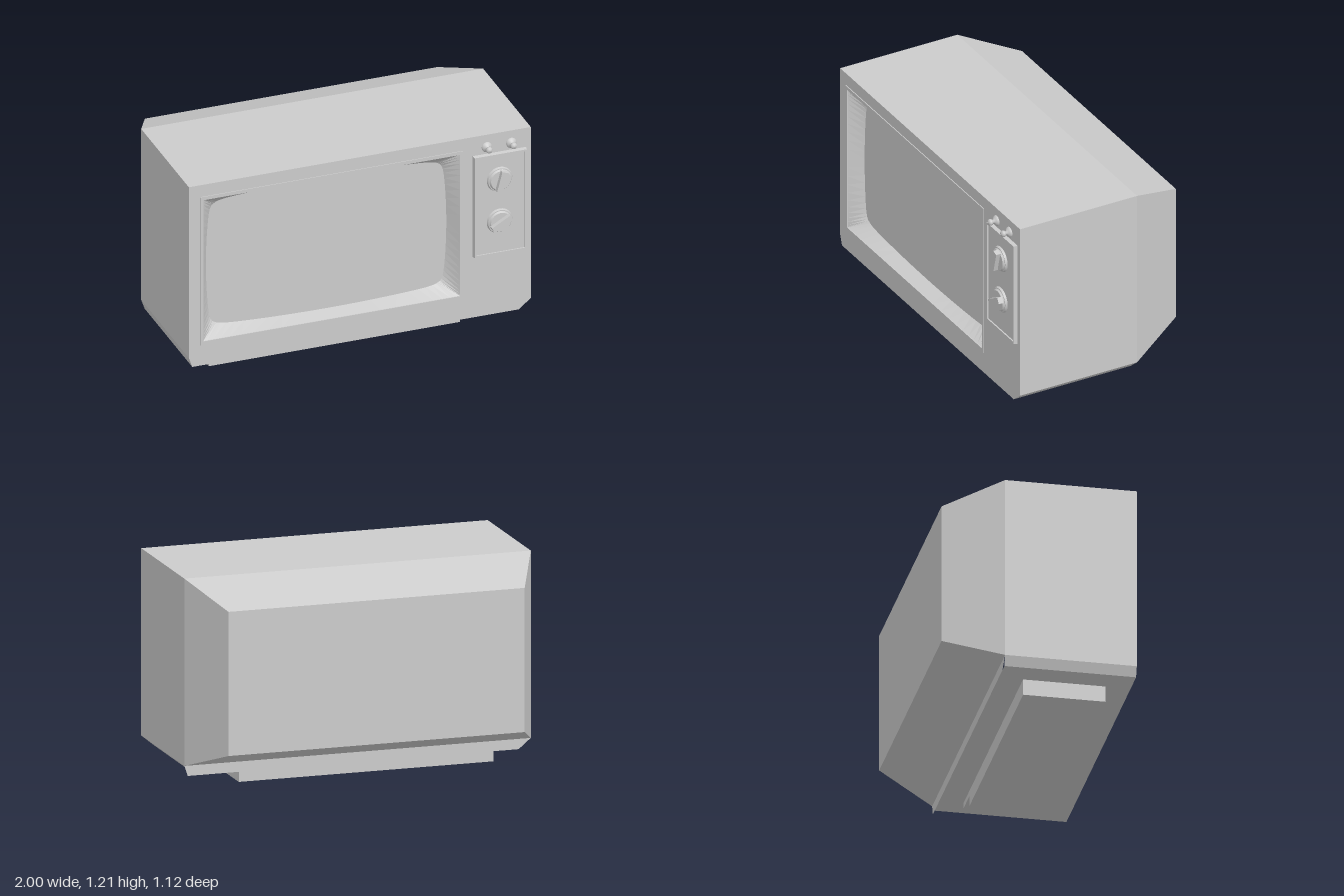
import * as THREE from 'three';

const V = (x, y) => new THREE.Vector2(x, y);
const FRONT = 0.5, MID = -0.235, BACK = -0.56, SCREEN_Z = 0.42;

// counter-clockwise rectangle
const rect = (x0, x1, y0, y1) => [V(x0, y0), V(x1, y0), V(x1, y1), V(x0, y1)];

// flat faced skin between two outlines; counter-clockwise outlines face outward
function loft(a, za, b, zb) {
  const p = [];
  a.forEach((_, i) => {
    const j = (i + 1) % a.length;
    p.push(a[i].x, a[i].y, za, b[i].x, b[i].y, zb, a[j].x, a[j].y, za);
    p.push(a[j].x, a[j].y, za, b[i].x, b[i].y, zb, b[j].x, b[j].y, zb);
  });
  const g = new THREE.BufferGeometry();
  g.setAttribute('position', new THREE.Float32BufferAttribute(p, 3));
  g.computeVertexNormals();
  return g;
}

function shapeOf(points, hole) {
  const s = new THREE.Shape(points);
  if (hole) s.holes.push(new THREE.Path(hole));
  return s;
}

const plate = (points, z, hole) => new THREE.ShapeGeometry(shapeOf(points, hole)).translate(0, 0, z);

const slab = (points, hole, z, depth) =>
  new THREE.ExtrudeGeometry(shapeOf(points, hole), { depth, bevelEnabled: false }).translate(0, 0, z);

export function createModel() {
  const model = new THREE.Group();
  const mat = new THREE.MeshStandardMaterial({ color: 0xcccccc });
  const flat = new THREE.MeshStandardMaterial({ color: 0xcccccc, flatShading: true });
  const add = (name, geo, parent = model, material = mat) => {
    const m = new THREE.Mesh(geo, material);
    m.name = name;
    parent.add(m);
    return m;
  };

  // cabinet with chamfered lower corners and a tapered back
  const outline = [V(-0.98, 0.092), V(0.93, 0.092), V(1, 0.15), V(1, 1.205), V(-1, 1.205), V(-1, 0.15)];
  const opening = rect(-0.915, 0.585, 0.24, 1.112);
  const cabinet = new THREE.Group();
  cabinet.name = 'cabinet';
  model.add(cabinet);
  add('cabinetFront', plate(outline, FRONT, opening), cabinet);
  add('cabinetSides', loft(outline, FRONT, outline, MID), cabinet);
  const lip = [outline[0], outline[1], outline[2], outline[5]];
  add('lowerBackLip', plate(lip, 0).rotateY(Math.PI).scale(1, 1, 1).translate(0, 0, MID), cabinet);
  const tail = rect(-0.855, 0.855, 0.27, 1.082);
  add('taperedBack', loft(rect(-1, 1, 0.15, 1.205), MID, tail, BACK), cabinet);
  add('backPanel', plate(tail, 0).rotateY(Math.PI).translate(0, 0, BACK), cabinet);

  // screen outline: a rectangle with bowed sides and rounded corners
  const edge = [], glass = [], n = 24;
  const corners = [V(-1, -1), V(-1, 1), V(1, 1), V(1, -1)];
  corners.forEach((c, k) => {
    for (let i = 0; i < n; i++) {
      const t = (1 - Math.cos(Math.PI * i / n)) / 2;
      const q = c.clone().lerp(corners[(k + 1) % 4], t);
      edge.push(V(-0.165 + 0.75 * q.x, 0.676 + 0.436 * q.y));
      const r = 1 - 0.035 * Math.pow(q.x * q.y, 16);
      glass.push(V(
        -0.167 + 0.703 * q.x * r * Math.sqrt(1 - 0.07 * q.y * q.y),
        0.67 + 0.405 * q.y * r * Math.sqrt(1 - 0.12 * q.x * q.x)));
    }
  });
  add('screenSurround', loft(edge, FRONT, glass, SCREEN_Z));
  add('screen', plate(glass, SCREEN_Z));
  add('screenRim', slab(rect(-0.935, 0.6, 0.218, 1.132), opening, FRONT, 0.005));

  // control panel with a raised border
  const outer = rect(0.66, 0.972, 0.465, 1.088);
  const top = rect(0.664, 0.968, 0.469, 1.084);
  const inner = rect(0.674, 0.958, 0.479, 1.074);
  add('panelSides', loft(top, 0.522, outer, FRONT));
  add('panelBorder', plate(top, 0.522, inner));
  add('panelRecess', loft([...inner].reverse(), 0.522, [...inner].reverse(), 0.514));
  add('panelFace', plate(inner, 0.514));

  // two dials with grip bars
  const dial = (name, y, angle) => {
    const g = new THREE.Group();
    g.name = name;
    g.position.set(0.812, y, 0.514);
    model.add(g);
    add('dialBase', new THREE.CylinderGeometry(0.07, 0.075, 0.012, 32).rotateX(Math.PI / 2).translate(0, 0, 0.006), g);
    add('dialCap', new THREE.CylinderGeometry(0.058, 0.065, 0.01, 32).rotateX(Math.PI / 2).translate(0, 0, 0.017), g);
    add('dialGrip', new THREE.BoxGeometry(0.036, 0.122, 0.03).translate(0, 0, 0.033), g, flat).rotation.z = angle;
  };
  dial('upperDial', 0.926, -0.26);
  dial('lowerDial', 0.669, -1.05);

  // two small pull knobs
  const profile = [V(0.03, 0), V(0.03, 0.005), V(0.023, 0.014), V(0.011, 0.02), V(0.01, 0.03),
    V(0.018, 0.034), V(0.019, 0.043), V(0.014, 0.052), V(0, 0.055)];
  for (const x of [0.742, 0.885]) {
    add('pullKnob', new THREE.LatheGeometry(profile, 20).rotateX(Math.PI / 2).translate(x, 1.13, FRONT));
  }

  // stepped foot
  add('foot', new THREE.BoxGeometry(1.47, 0.092, 0.46).translate(-0.095, 0.046, 0.13));
  add('footStep', new THREE.BoxGeometry(0.16, 0.032, 0.46).translate(0.72, 0.076, 0.13));
  return model;
}
